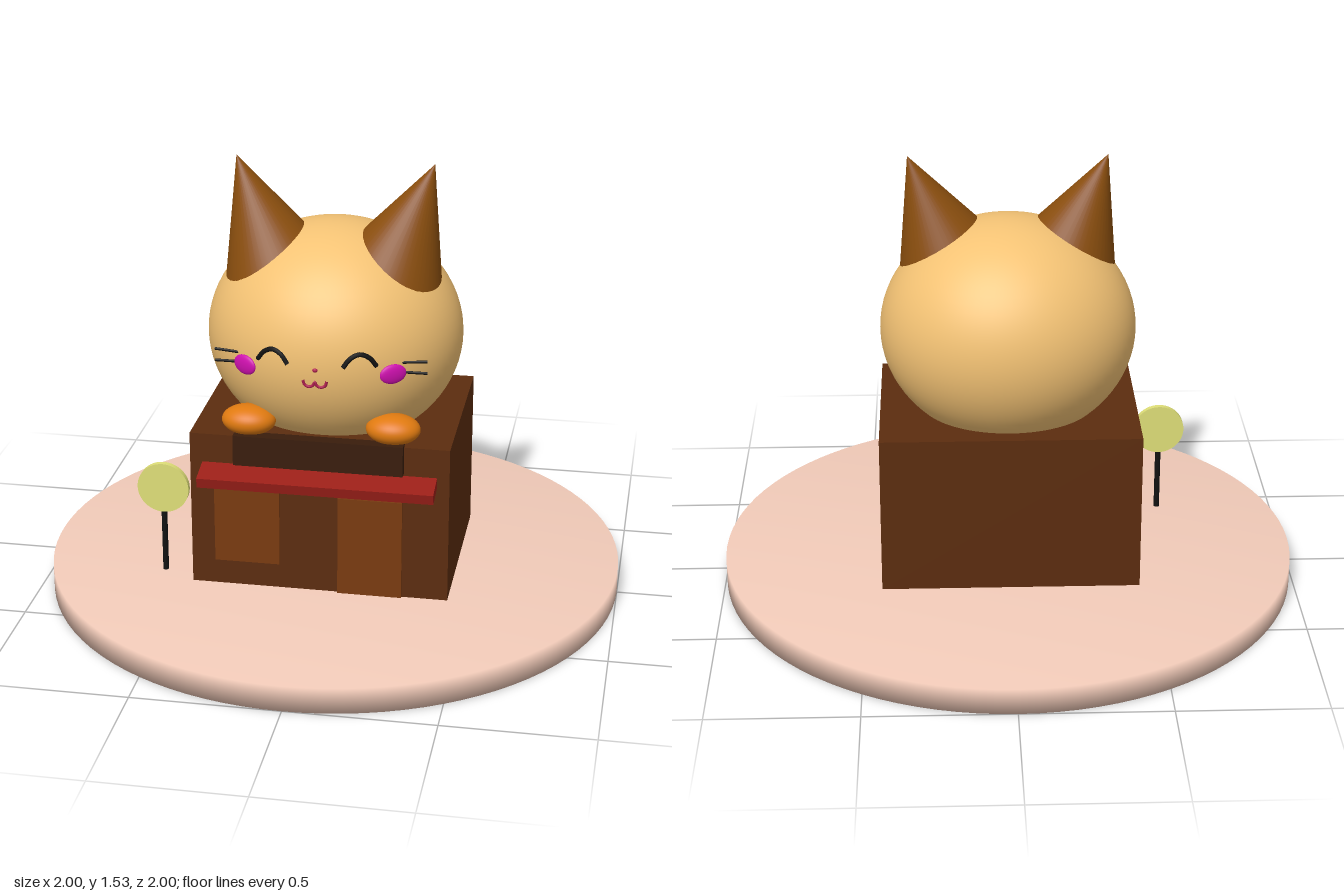
import * as THREE from 'three';
import { mergeVertices } from 'three/addons/utils/BufferGeometryUtils.js';

const mat = (color) => new THREE.MeshStandardMaterial({ color });
const mats = {
  base: mat(0xf2cbb9), wall: mat(0x5c2d0f), panel: mat(0x7a3b10), sign: mat(0x3a1d0c),
  awning: mat(0x9c1f18), fur: mat(0xf3c274), ear: mat(0x8a4e0e), paw: mat(0xe07a10),
  black: mat(0x111111), cheek: mat(0xd010b0), mouth: mat(0xb02050), disc: mat(0xdfdf78),
};

// Head ellipsoid
const HEAD = { y: 0.925, rx: 0.437, ry: 0.39, rz: 0.398 };
const headZ = (x, y) =>
  HEAD.rz * Math.sqrt(Math.max(0, 1 - (x / HEAD.rx) ** 2 - ((y - HEAD.y) / HEAD.ry) ** 2));

export function createModel() {
  const group = new THREE.Group();

  const add = (name, geometry, material, x = 0, y = 0, z = 0) => {
    const mesh = new THREE.Mesh(geometry, material);
    mesh.name = name;
    mesh.position.set(x, y, z);
    group.add(mesh);
    return mesh;
  };
  // Box given by its limits on each axis
  const box = (name, material, [x0, x1], [y0, y1], [z0, z1]) =>
    add(name, new THREE.BoxGeometry(x1 - x0, y1 - y0, z1 - z0), material,
      (x0 + x1) / 2, (y0 + y1) / 2, (z0 + z1) / 2);
  const ellipsoid = (name, material, x, y, z, rx, ry, rz, seg = 24) => {
    const mesh = add(name, new THREE.SphereGeometry(1, seg * 2, seg), material, x, y, z);
    mesh.scale.set(rx, ry, rz);
    return mesh;
  };
  // Round line drawn over the face, following the head's surface
  const faceLine = (name, material, points, radius) => {
    const curve = new THREE.CatmullRomCurve3(
      points.map(([x, y]) => new THREE.Vector3(x, y, headZ(x, y) + 0.006)));
    add(name, new THREE.TubeGeometry(curve, 24, radius, 8), material);
  };

  // Round base, shaded softly over its rim
  const disc = new THREE.CylinderGeometry(1, 1, 0.09, 96);
  disc.deleteAttribute('normal');
  disc.deleteAttribute('uv');
  const softDisc = mergeVertices(disc);
  softDisc.computeVertexNormals();
  add('base', softDisc, mats.base, 0, 0.045, 0);

  // Shop building with its front details
  box('building', mats.wall, [-0.442, 0.442], [0.09, 0.645], [-0.335, 0.335]);
  box('window', mats.panel, [-0.36, -0.135], [0.18, 0.45], [0.32, 0.343]);
  box('door', mats.panel, [0.065, 0.285], [0.09, 0.445], [0.32, 0.345]);
  box('signBoard', mats.sign, [-0.288, 0.288], [0.55, 0.657], [0.32, 0.364]);
  const awning = add('awning', new THREE.BoxGeometry(0.8, 0.037, 0.1), mats.awning, 0, 0.514, 0.378);
  awning.rotation.x = 0.22;

  // Head
  ellipsoid('head', mats.fur, 0, HEAD.y, 0, HEAD.rx, HEAD.ry, HEAD.rz, 40);

  // Nose and mouth
  ellipsoid('nose', mats.mouth, 0, 0.926, 0.398, 0.009, 0.007, 0.006, 8);
  faceLine('mouth', mats.mouth,
    [[-0.04, 0.892], [-0.034, 0.874], [-0.02, 0.868], [-0.006, 0.874], [0, 0.888],
      [0.006, 0.874], [0.02, 0.868], [0.034, 0.874], [0.04, 0.892]], 0.005);

  for (const [side, s] of [['left', 1], ['right', -1]]) {
    // Ear: cone leaning outwards, its base sunk in the head
    const height = 0.42;
    const tip = new THREE.Vector3(s * 0.335, 1.53, 0.015);
    const axis = new THREE.Vector3(s * 0.35, 0.935, -0.06).normalize();
    const ear = add(side + 'Ear', new THREE.ConeGeometry(height * 0.465, height, 48), mats.ear);
    ear.position.copy(tip).addScaledVector(axis, -height / 2);
    ear.quaternion.setFromUnitVectors(new THREE.Vector3(0, 1, 0), axis);

    // Closed, smiling eye
    faceLine(side + 'Eye', mats.black,
      [[0.092, 0.94], [0.115, 0.97], [0.145, 0.983], [0.175, 0.97], [0.198, 0.94]]
        .map(([x, y]) => [s * x, y]), 0.008);

    // Cheek, turned with the head's surface
    const cheek = ellipsoid(side + 'Cheek', mats.cheek, s * 0.248, 0.904, 0.331, 0.047, 0.034, 0.012, 16);
    cheek.rotation.y = s * 0.55;

    // Whiskers
    for (const [y, slope] of [[0.936, 0.004], [0.903, -0.004]]) {
      const line = new THREE.LineCurve3(
        new THREE.Vector3(s * 0.265, y, 0.305), new THREE.Vector3(s * 0.357, y + slope, 0.295));
      add(side + 'Whisker', new THREE.TubeGeometry(line, 1, 0.005, 8), mats.black);
    }

    // Paw resting on the roof edge
    ellipsoid(side + 'Paw', mats.paw, s * 0.245, 0.693, 0.295, 0.092, 0.051, 0.07);
  }

  // Round street sign on a post
  add('signPost', new THREE.CylinderGeometry(0.01, 0.01, 0.24, 16), mats.black, -0.556, 0.205, 0.265);
  const roundSign = add('roundSign', new THREE.CylinderGeometry(0.09, 0.09, 0.02, 48), mats.disc, -0.556, 0.403, 0.265);
  roundSign.rotation.x = Math.PI / 2;

  return group;
}
